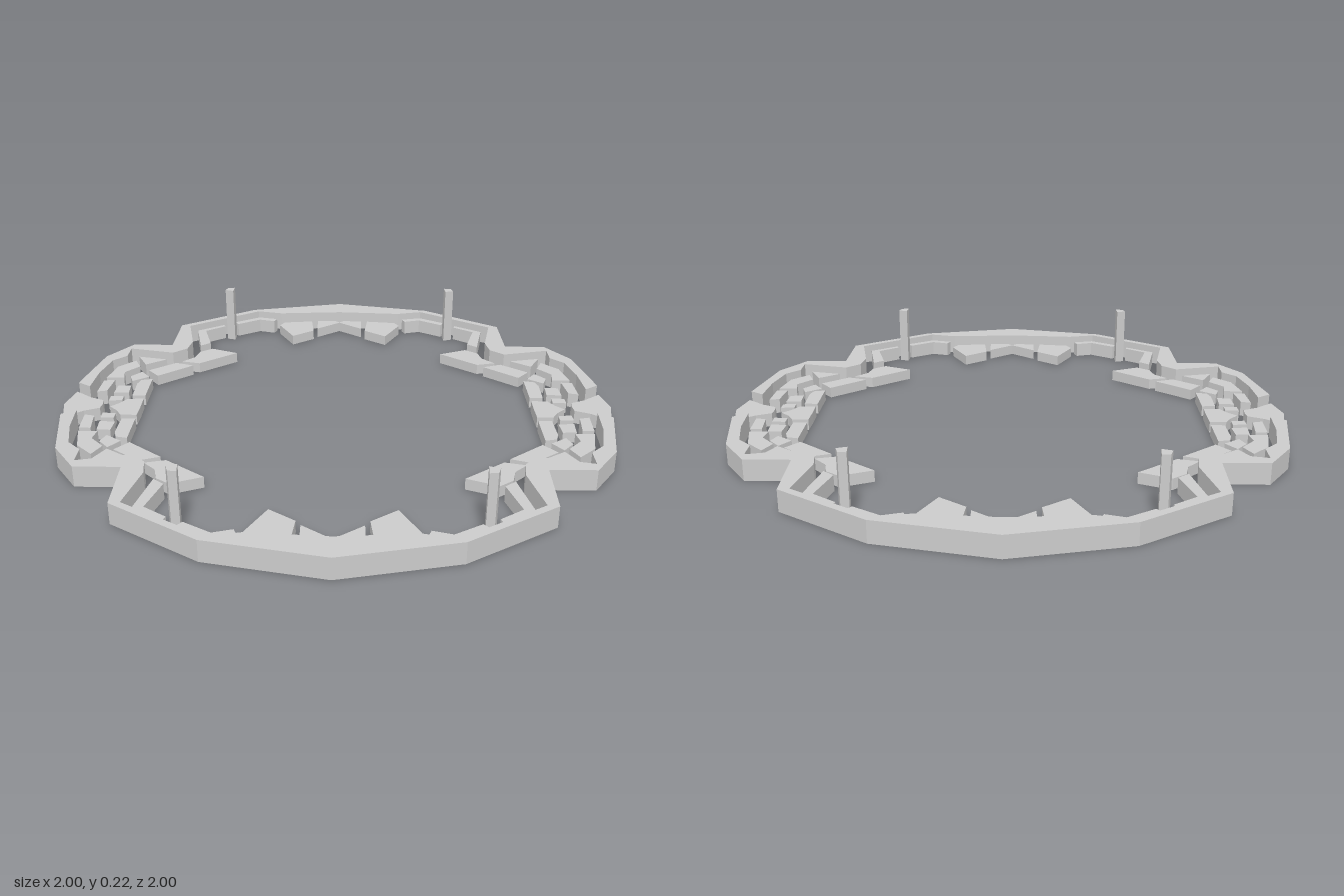
import * as THREE from 'three';

const material = new THREE.MeshStandardMaterial({ color: 0xcccccc, flatShading: true });

// Plan outlines are [x, z] in thousandths of a unit.
const rotate = pts => pts.map(([x, z]) => [-x, -z]);
const swap = pts => pts.map(([x, z]) => [z, x]);
const antiSwap = pts => pts.map(([x, z]) => [-z, -x]);

// Completes a half outline whose first and last points lie on a diagonal.
const joinHalves = (half, mirror) => [...half, ...mirror(half.slice(1, -1)).reverse()];

// Extrudes a plan outline upward from the ground.
function slab(name, pts, height) {
  const shape = new THREE.Shape(pts.map(([x, z]) => new THREE.Vector2(x / 1000, -z / 1000)));
  const geometry = new THREE.ExtrudeGeometry(shape, { depth: height, bevelEnabled: false });
  geometry.rotateX(-Math.PI / 2);
  const mesh = new THREE.Mesh(geometry, material);
  mesh.name = name;
  return mesh;
}

const WALL = 0.075, LEDGE = 0.055, GATE = 0.05, FLOOR = 0.04, TOWER = 0.225;

// Pieces lying across a diagonal: two copies each
const wall = joinHalves([
  [640, -640], [444, -810], [388, -900], [59, -970], [-43, -816], [-102, -773], [-171, -778],
  [-267, -933], [-321, -880], [-390, -880], [-492, -815], [-588, -730],
  [-599, -789], [-385, -933], [-235, -960], [-123, -848], [37, -1000], [385, -928], [715, -715],
], antiSwap);
const middleTooth = joinHalves([[612, -612], [492, -628], [556, -692], [613, -638], [614, -614]], antiSwap);
const gateBlock = joinHalves([[-610, -610], [-590, -635], [-610, -690], [-620, -770], [-711, -711]], swap);
const gateStep = joinHalves([[-512, -512], [-465, -561], [-508, -602], [-550, -592], [-592, -592]], swap);

const diagonalParts = [
  ['outerWall', wall, WALL],
  ['middleTooth', middleTooth, FLOOR],
  ['gateBlock', gateBlock, GATE],
  ['gateStep', gateStep, FLOOR],
];

// Pieces of one quarter: four copies each
const quarterParts = [
  ['tower', [[246, -885], [214, -858], [198, -890], [225, -903]], TOWER],
  ['wallLedge', [[-16, -799], [80, -944], [203, -917], [196, -901], [102, -917], [32, -794]], LEDGE],
  ['wallLedge', [[256, -910], [374, -880], [417, -810], [390, -799], [358, -858], [254, -882]], LEDGE],
  ['sideTooth', [[358, -639], [401, -773], [439, -783], [535, -709], [465, -623]], FLOOR],
  ['cornerWedge', [[-267, -880], [-294, -794], [-203, -778]], LEDGE],
  ['cornerSlab', [[-299, -767], [-176, -751], [-144, -682], [-305, -698]], FLOOR],
  ['pointedSlab', [[-150, -746], [-86, -746], [-37, -776], [21, -767], [64, -660], [-112, -682]], FLOOR],
  ['gateLedge', [[-476, -794], [-385, -853], [-299, -853], [-321, -794], [-396, -789], [-428, -745]], LEDGE],
  ['gateLedge', [[-572, -709], [-497, -778], [-465, -751], [-540, -690]], LEDGE],
  ['gateTile', [[-430, -695], [-468, -727], [-516, -684], [-473, -647]], FLOOR],
  ['gateTile', [[-540, -666], [-503, -634], [-529, -607], [-567, -639]], FLOOR],
  ['gateTile', [[-385, -768], [-326, -773], [-335, -714], [-405, -725]], FLOOR],
  ['gateFloor', [[-444, -580], [-337, -687], [-374, -709], [-405, -692], [-478, -616]], FLOOR],
];

export function createModel() {
  const model = new THREE.Group();
  model.name = 'ringWall';
  for (const [name, pts, height] of diagonalParts)
    for (const copy of [pts, rotate(pts)]) model.add(slab(name, copy, height));
  for (const [name, pts, height] of quarterParts)
    for (const copy of [pts, rotate(pts), swap(pts), antiSwap(pts)]) model.add(slab(name, copy, height));
  return model;
}
